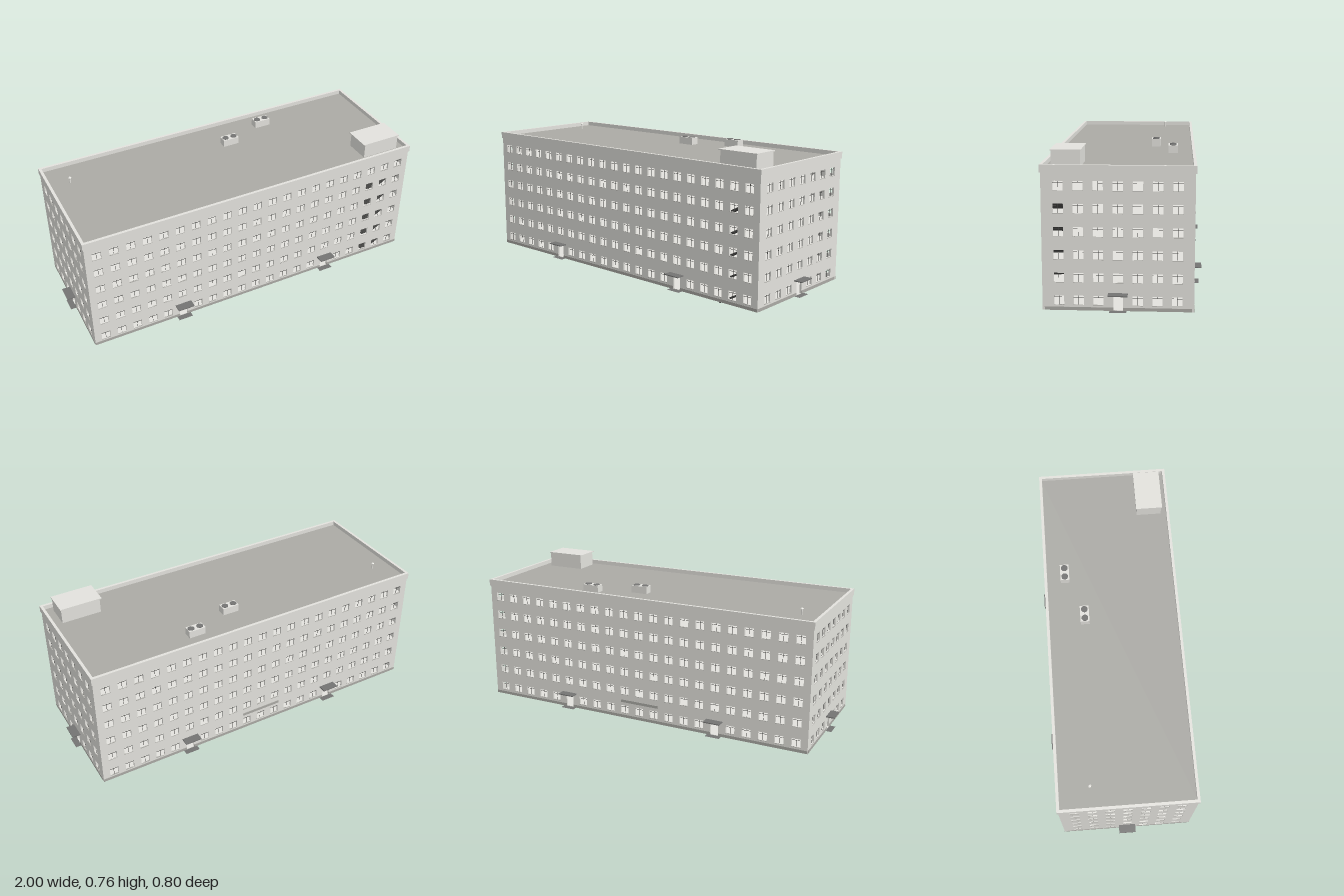
import * as THREE from 'three';
import { mergeGeometries } from 'three/addons/utils/BufferGeometryUtils.js';

const mat = (name, color) => new THREE.MeshStandardMaterial({ name, color });
const HX = 0.955, HZ = 0.355, BASE = 0.01, TOP = 0.68, THICK = 0.01;
const STOREYS = 6, STOREY = 0.1095, WIN_W = 0.048, WIN_H = 0.044, SILL = 0.037;
const DOOR_W = 0.045, DOOR_H = 0.081;

function rectPath(x0, y0, x1, y1, Type = THREE.Path) {
  const p = new Type();
  p.moveTo(x0, y0).lineTo(x1, y0).lineTo(x1, y1).lineTo(x0, y1).closePath();
  return p;
}

// Box given by its lower and upper corners
function boxGeo(x0, x1, y0, y1, z0, z1) {
  return new THREE.BoxGeometry(x1 - x0, y1 - y0, z1 - z0)
    .translate((x0 + x1) / 2, (y0 + y1) / 2, (z0 + z1) / 2);
}

export function createModel() {
  const wallMat = mat('wall', 0xe3e2dd);
  const roofMat = mat('roofing', 0xabaaa5);
  const canopyMat = mat('canopy', 0x747473);
  canopyMat.side = THREE.DoubleSide;
  const darkMat = mat('darkMetal', 0x4b4b49);

  const model = new THREE.Group();
  model.name = 'officeBlock';
  const add = (parent, name, geo, material) => {
    const m = new THREE.Mesh(geo, material);
    m.name = name;
    parent.add(m);
    return m;
  };

  // One facade, outer face on local z = 0 and looking along +z
  function facade(name, half, columns, pitch, doors) {
    const g = new THREE.Group();
    g.name = name;
    const shape = new THREE.Shape();
    shape.moveTo(-half, BASE);
    for (const d of doors) {
      shape.lineTo(d - DOOR_W / 2, BASE).lineTo(d - DOOR_W / 2, DOOR_H);
      shape.lineTo(d + DOOR_W / 2, DOOR_H).lineTo(d + DOOR_W / 2, BASE);
    }
    shape.lineTo(half, BASE).lineTo(half, TOP).lineTo(-half, TOP).closePath();

    const bars = [], sills = [];
    for (let r = 0; r < STOREYS; r++) {
      // the top row sits slightly lower
      const y = SILL + r * STOREY - (r === STOREYS - 1 ? 0.003 : 0), y1 = y + WIN_H;
      for (let c = 0; c < columns; c++) {
        const x = (c - (columns - 1) / 2) * pitch;
        if (r === 0 && doors.some(d => Math.abs(d - x) < 0.02)) continue;
        const x0 = x - WIN_W / 2, x1 = x + WIN_W / 2;
        shape.holes.push(rectPath(x0, y, x1, y1));
        // thin mullion and high transom
        bars.push(boxGeo(x - 0.0008, x + 0.0008, y, y1, -0.007, -0.005));
        bars.push(boxGeo(x0, x1, y + 0.0335, y + 0.035, -0.007, -0.005));
        sills.push(boxGeo(x0 - 0.001, x1 + 0.001, y - 0.0015, y, -0.004, 0.002));
      }
    }
    add(g, 'wall', new THREE.ExtrudeGeometry(shape, { depth: THICK, bevelEnabled: false }).translate(0, 0, -THICK), wallMat);
    add(g, 'windowBars', mergeGeometries(bars), darkMat);
    add(g, 'windowSills', mergeGeometries(sills), roofMat);

    // plinth strips between the doorways
    const stops = [-half, ...doors.flatMap(d => [d - DOOR_W / 2, d + DOOR_W / 2]), half];
    for (let i = 0; i < stops.length; i += 2)
      add(g, 'plinth', boxGeo(stops[i], stops[i + 1], BASE, 0.026, -0.002, 0.0015), roofMat);

    // entrance canopy and flat doorstep
    for (const d of doors) {
      add(g, 'entranceCanopy', boxGeo(d - 0.046, d + 0.046, 0.0915, 0.0965, 0, 0.045), canopyMat);
      add(g, 'doorstep', new THREE.PlaneGeometry(0.08, 0.032).rotateX(-Math.PI / 2)
        .translate(d, 0.0105, 0.016), canopyMat);
    }
    model.add(g);
    return g;
  }

  const longDoors = [-0.4465, 0.4465];
  facade('frontFacade', HX, 21, 0.0893, longDoors).position.z = HZ;
  const back = facade('backFacade', HX, 21, 0.0893, longDoors);
  back.position.z = -HZ;
  back.rotation.y = Math.PI;
  for (const s of [-1, 1]) {
    const end = facade(s > 0 ? 'leftFacade' : 'rightFacade', HZ - THICK, 7, 0.0922, [0]);
    end.position.x = s * HX;
    end.rotation.y = s * Math.PI / 2;
  }

  // Floors inside
  for (let i = 0; i < STOREYS; i++) {
    const y = BASE + i * STOREY, o = i ? THICK : 0.0005;
    add(model, 'floor', boxGeo(-HX + o, HX - o, y, y + 0.003, -HZ + o, HZ - o), wallMat);
  }

  // Sloping stair flights behind the front windows
  const flight = new THREE.Shape();
  flight.moveTo(0.712, 0).lineTo(0.722, 0).lineTo(0.91, 0.1035).lineTo(0.91, 0.1125).lineTo(0.712, 0.006).closePath();
  const flightGeo = new THREE.ExtrudeGeometry(flight, { depth: 0.066, bevelEnabled: false });
  for (let i = 0; i < STOREYS - 1; i++)
    add(model, 'stairFlight', flightGeo, darkMat).position.set(0, i * STOREY, 0.276);

  // Flat roof and its parapet
  add(model, 'roof', boxGeo(-HX + 0.005, HX - 0.005, 0.666, 0.677, -HZ + 0.005, HZ - 0.005), roofMat);
  const rim = rectPath(-0.96, -0.36, 0.96, 0.36, THREE.Shape);
  rim.holes.push(rectPath(-0.945, -0.345, 0.945, 0.345));
  add(model, 'parapet', new THREE.ExtrudeGeometry(rim, { depth: 0.036, bevelEnabled: false })
    .rotateX(-Math.PI / 2).translate(0, 0.664, 0), wallMat);

  // Rooftop stair house
  add(model, 'stairHouse', boxGeo(0.685, 0.9, 0.67, 0.758, 0.178, 0.314), wallMat);
  add(model, 'stairHouseCap', boxGeo(0.675, 0.905, 0.758, 0.763, 0.173, 0.318), wallMat);

  // Rooftop cooling units with two fans each
  for (const [x, z] of [[0.0895, -0.153], [0.3405, -0.247]]) {
    add(model, 'coolingUnit', boxGeo(x - 0.046, x + 0.046, 0.672, 0.716, z - 0.024, z + 0.024), wallMat);
    for (const s of [-1, 1])
      add(model, 'coolingFan', new THREE.CylinderGeometry(0.018, 0.018, 0.003, 16)
        .translate(x + s * 0.025, 0.717, z), canopyMat);
  }

  // Vent pipe with a small cap
  add(model, 'ventPipe', new THREE.CylinderGeometry(0.004, 0.004, 0.038, 12).translate(-0.838, 0.692, -0.187), wallMat);
  add(model, 'ventCap', new THREE.CylinderGeometry(0.004, 0.009, 0.005, 12).translate(-0.838, 0.712, -0.187), wallMat);

  // Narrow panel on the back wall
  add(model, 'backWallPanel', boxGeo(-0.115, 0.112, 0.1, 0.115, -HZ - 0.003, -HZ), roofMat);

  return model;
}
